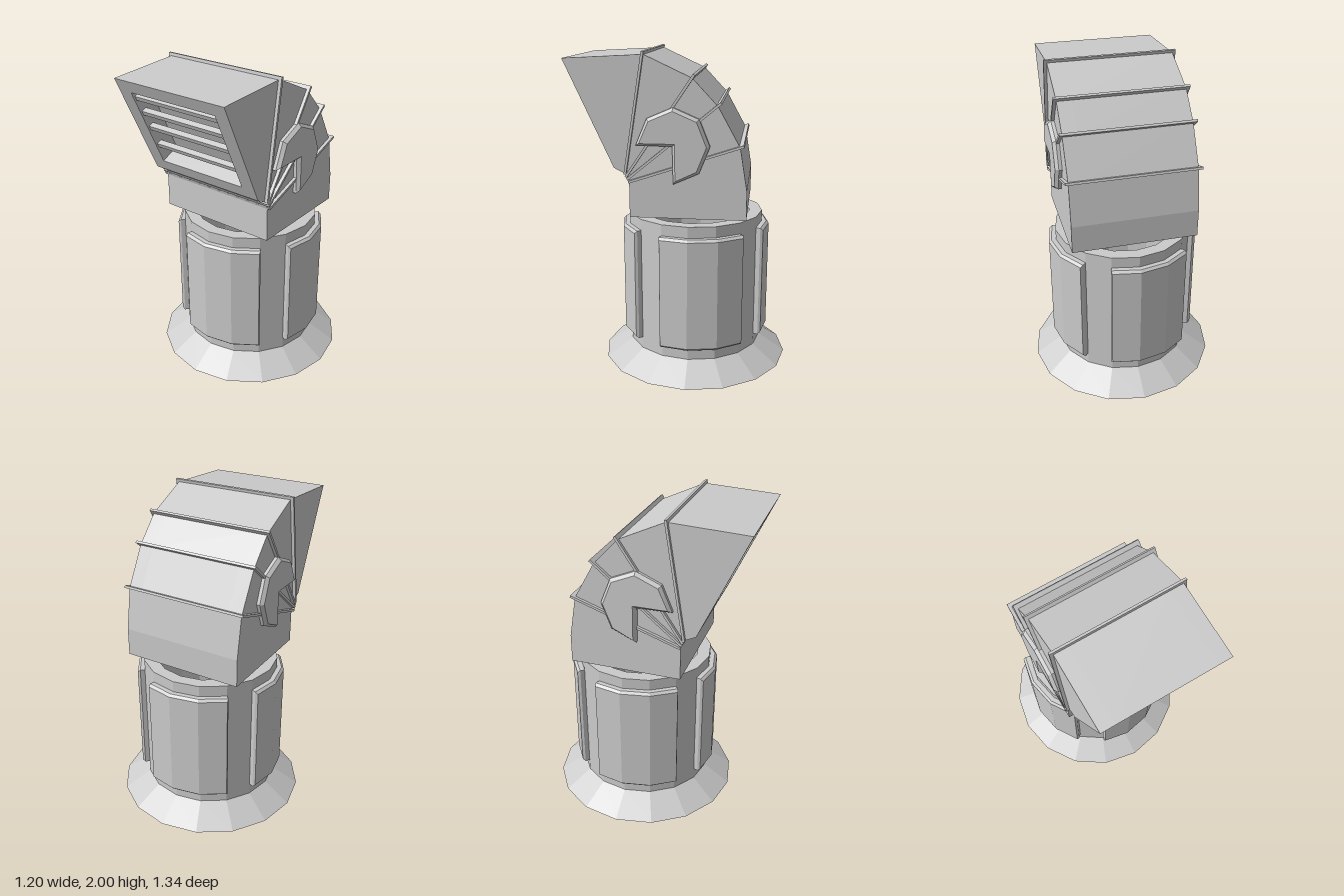
import * as THREE from 'three';
import { ConvexGeometry } from 'three/addons/geometries/ConvexGeometry.js';

const CENTRE_Z = -0.07;
const HALF_WIDTH = 0.39;

export function createModel() {
  const model = new THREE.Group();
  model.name = 'ventPipe';
  const grey = new THREE.MeshStandardMaterial({ color: 0xcccccc, flatShading: true });

  const add = (name, geometry, parent = model) => {
    const mesh = new THREE.Mesh(geometry, grey);
    mesh.name = name;
    parent.add(mesh);
    return mesh;
  };
  // Extrude a (z, y) side profile across x, from x0 to x1
  const slab = (points, x0, x1, bevel = {}) => {
    const shape = new THREE.Shape(points.map(([z, y]) => new THREE.Vector2(z, y)));
    const geo = new THREE.ExtrudeGeometry(shape, { depth: x1 - x0, bevelEnabled: false, ...bevel });
    return geo.rotateY(-Math.PI / 2).translate(x1, 0, 0);
  };

  // Hollow pipe with a flared foot
  const pipeProfile = [
    [0.48, 0], [0.6, 0], [0.43, 0.115], [0.43, 0.98], [0.35, 0.98], [0.35, 0.11], [0.48, 0],
  ].map(([r, y]) => new THREE.Vector2(r, y));
  add('flaredPipe', new THREE.LatheGeometry(pipeProfile, 16)).position.z = CENTRE_Z;

  // Four raised panels, each wrapping three of the sixteen sides
  const panelPoints = [];
  const ring = (r, yLow, yHigh, inset) => {
    [-22.5 + inset, 0, 22.5, 45 - inset].forEach((deg) => {
      const a = THREE.MathUtils.degToRad(deg);
      for (const y of [yLow, yHigh]) {
        panelPoints.push(new THREE.Vector3(r * Math.sin(a), y, r * Math.cos(a)));
      }
    });
  };
  ring(0.425, 0.19, 0.91, 0);
  ring(0.46, 0.19, 0.91, 0);
  ring(0.475, 0.205, 0.895, 1.2);
  const panelGeo = new ConvexGeometry(panelPoints);
  for (let i = 0; i < 4; i++) {
    const panel = add('sidePanel', panelGeo);
    panel.position.z = CENTRE_Z;
    panel.rotation.y = (i * Math.PI) / 2;
  }

  // Bent hood: solid cheeks, and a middle section notched by the mouth
  const hood = new THREE.Group();
  hood.name = 'hood';
  model.add(hood);
  const lowerLip = [0.375, 1.32];
  const upperLip = [0.665, 1.955];
  const slope = Math.atan2(upperLip[0] - lowerLip[0], upperLip[1] - lowerLip[1]);
  // Point on the sloping face: s along it, d into it
  const onFace = (s, d) => [
    lowerLip[0] + s * Math.sin(slope) - d * Math.cos(slope),
    lowerLip[1] + s * Math.cos(slope) + d * Math.sin(slope),
  ];
  const mouth = [onFace(0.08, 0), onFace(0.08, 0.13), onFace(0.616, 0.13), onFace(0.616, 0)];
  const profile = (notch) => [
    [-0.413, 1.02], [0.285, 1.02], [0.285, 1.235], [0.305, 1.285], lowerLip, ...notch, upperLip,
    [0.19, 1.98], [-0.09, 1.85], [-0.24, 1.69], [-0.37, 1.455], [-0.413, 1.195],
  ];
  add('hoodMiddle', slab(profile(mouth), -0.3, 0.3), hood);
  add('hoodLeftCheek', slab(profile([]), 0.3, HALF_WIDTH), hood);
  add('hoodRightCheek', slab(profile([]), -HALF_WIDTH, -0.3), hood);

  // Slats across the mouth
  [0.565, 0.455, 0.34, 0.2].forEach((s) => {
    const slat = add('slat', new THREE.BoxGeometry(0.6, 0.028, 0.035), hood);
    const [z, y] = onFace(s, 0.03);
    slat.position.set(0, y, z);
    slat.rotation.x = slope;
  });

  // Ribs fanning out from the inside of the bend: [z, y] near end, [z, y] tip
  [
    [[0.307, 1.285], [0.192, 1.997]],
    [[0.302, 1.27], [-0.102, 1.87]],
    [[0.295, 1.255], [-0.258, 1.712]],
    [[0.287, 1.238], [-0.392, 1.467]],
  ].forEach(([[z0, y0], [z1, y1]]) => {
    const length = Math.hypot(z1 - z0, y1 - y0);
    const rib = add('rib', new THREE.BoxGeometry(0.82, length, 0.015), hood);
    rib.position.set(0, (y0 + y1) / 2, (z0 + z1) / 2);
    rib.rotation.x = Math.atan2(z1 - z0, y1 - y0);
  });

  // Octagonal hinge plates with the lower front quarter cut away
  const bevel = 0.018;
  const plate = [[0.006, 1.476]];
  for (let i = 0; i < 7; i++) {
    const a = (i * Math.PI) / 4;
    plate.push([0.02 + 0.197 * Math.cos(a), 1.46 + 0.205 * Math.sin(a)]);
  }
  plate[1][1] = 1.476;
  plate[7][0] = 0.006;
  const plateGeo = slab(plate, -0.395, 0.395 + 0.015, {
    bevelEnabled: true, bevelThickness: 0.02, bevelSize: bevel, bevelSegments: 1,
  });
  // One thick plate runs right through the hood and shows on both sides
  plateGeo.translate(-0.0075, 0, 0).scale(0.41 / 0.4025, 1, 1);
  add('hingePlates', plateGeo, hood);

  return model;
}
